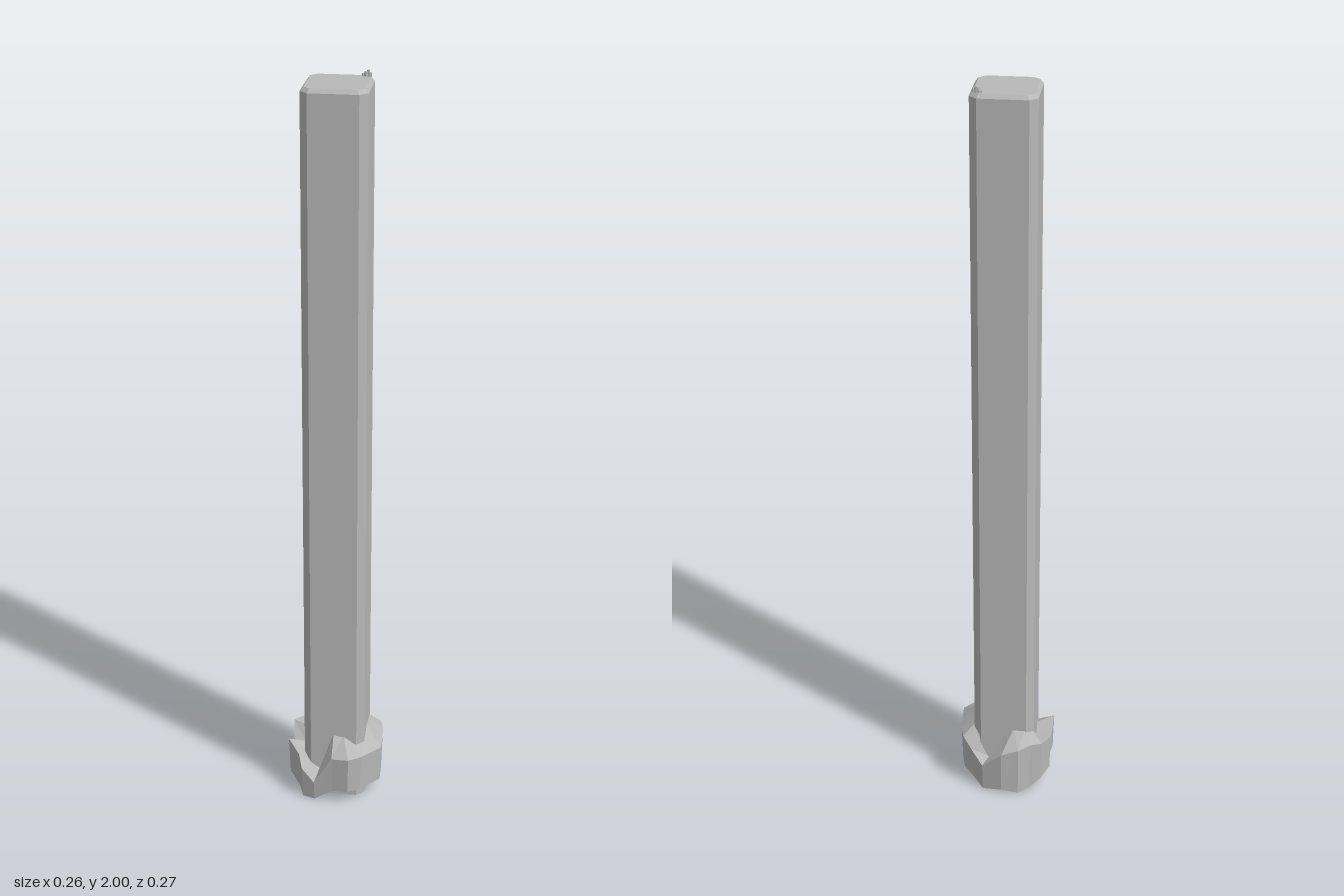
import * as THREE from 'three';

// Skin between rings of [x, y, z] points (clockwise seen from above, ordered bottom to top)
function loft(rings, capped) {
  const n = rings[0].length, pos = [];
  const tri = (...p) => p.forEach(v => pos.push(...v));
  for (let k = 0; k + 1 < rings.length; k++) {
    for (let i = 0; i < n; i++) {
      const j = (i + 1) % n;
      const a = rings[k][j], b = rings[k][i], c = rings[k + 1][i], d = rings[k + 1][j];
      tri(a, b, c);
      tri(a, c, d);
    }
  }
  if (capped) {
    const low = rings[0], high = rings[rings.length - 1];
    for (let i = 1; i + 1 < n; i++) {
      tri(low[0], low[i], low[i + 1]);
      tri(high[0], high[i + 1], high[i]);
    }
  }
  const g = new THREE.BufferGeometry();
  g.setAttribute('position', new THREE.Float32BufferAttribute(pos, 3));
  g.computeVertexNormals();
  return g;
}

// Square ring with cut corners
function octagon(half, cut, y) {
  const s = half - cut;
  return [[-s, -half], [s, -half], [half, -s], [half, s], [s, half], [-s, half], [-half, s], [-half, -s]]
    .map(([x, z]) => [x, y, z]);
}

export function createModel() {
  const model = new THREE.Group();
  const stone = new THREE.MeshStandardMaterial({ color: 0xb8b8b8 });
  stone.name = 'grey stone';
  const add = (name, geometry, parent = model) => {
    const m = new THREE.Mesh(geometry, stone);
    m.name = name;
    parent.add(m);
    return m;
  };

  // Tall post with chamfered edges and a small bevel on top
  add('post', loft([octagon(0.083, 0.02, 0), octagon(0.083, 0.02, 1.975), octagon(0.075, 0.017, 1.985)], true));

  // Jagged collar: x, z, bottom height, outer top height, inner top height
  const rim = [
    [0, -0.138, 0.01, 0.13, 0.15], [0.055, -0.123, 0.0, 0.08, 0.08],
    [0.088, -0.103, 0.03, 0.12, 0.15], [0.113, -0.08, 0.04, 0.145, 0.18],
    [0.123, -0.04, 0.04, 0.145, 0.185], [0.127, 0.01, 0.04, 0.145, 0.19],
    [0.129, 0.055, 0.04, 0.145, 0.18], [0.08, 0.113, 0.04, 0.145, 0.17],
    [0.047, 0.135, 0.04, 0.145, 0.19], [0, 0.127, 0.035, 0.14, 0.195],
    [-0.05, 0.12, 0.0, 0.055, 0.08], [-0.085, 0.108, 0.0, 0.09, 0.1],
    [-0.098, 0.075, 0.01, 0.115, 0.12], [-0.13, 0.048, 0.04, 0.145, 0.13],
    [-0.122, 0, 0.035, 0.08, 0.09], [-0.13, -0.052, 0.04, 0.145, 0.14],
    [-0.107, -0.085, 0.02, 0.14, 0.17], [-0.077, -0.103, 0.0, 0.145, 0.18],
    [-0.047, -0.133, 0.0, 0.145, 0.18],
  ];
  const inner = (x, z, y) => {
    const s = 0.079 / Math.max(Math.abs(x), Math.abs(z));
    return [x * s, y, z * s];
  };
  add('collar', loft([
    rim.map(([x, z, b]) => inner(x, z, b)),
    rim.map(([x, z, b]) => [x * 0.97, b, z * 0.97]),
    rim.map(([x, z, , t]) => [x, t, z]),
    rim.map(([x, z, , , h]) => inner(x, z, h)),
  ], false));

  // Tiny chips on the back corner of the top
  const chips = new THREE.Group();
  chips.name = 'topChips';
  model.add(chips);
  [[0.055, -0.068, 0.006], [0.061, -0.063, 0.012], [0.066, -0.067, 0.015], [0.072, -0.061, 0.01]]
    .forEach(([x, z, h], i) => {
      const chip = add('chip', new THREE.BoxGeometry(0.007, h, 0.006), chips);
      chip.position.set(x, 1.985 + h / 2, z);
      chip.rotation.y = 0.4 + i * 0.5;
    });

  return model;
}
